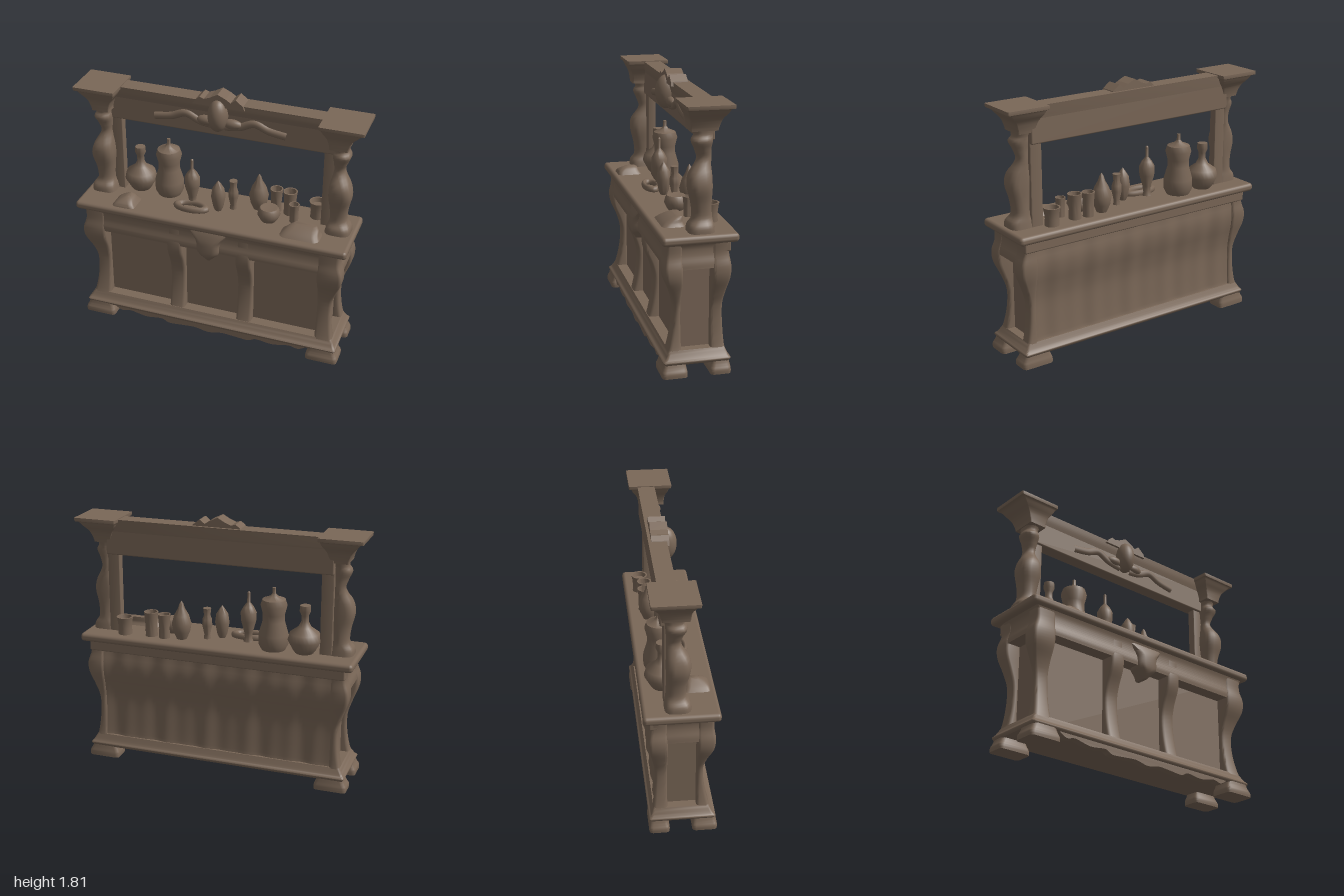
import * as THREE from 'three';
import { toCreasedNormals } from 'three/addons/utils/BufferGeometryUtils.js';
import { RoundedBoxGeometry } from 'three/addons/geometries/RoundedBoxGeometry.js';

const wood = new THREE.MeshStandardMaterial({ color: 0x7a6757 });
wood.name = 'brown wood';

// Catmull-Rom value of column k of a row table at position t (in rows)
function sample(rows, t, k) {
  const i = Math.min(Math.floor(t), rows.length - 2), f = t - i;
  const at = n => rows[Math.max(0, Math.min(rows.length - 1, n))][k];
  const a = at(i - 1), b = at(i), c = at(i + 1), d = at(i + 2);
  return b + 0.5 * f * (c - a + f * (2 * a - 5 * b + 4 * c - d + f * (3 * (b - c) + d - a)));
}

// Rounded-rectangle sections [y, x0, x1, z0, z1] joined from bottom to top
function loft(rows, radius = 0.012, steps = 4) {
  const pos = [], idx = [], arc = 3, n = 4 * (arc + 1), count = (rows.length - 1) * steps;
  for (let i = 0; i <= count; i++) {
    const [y, x0, x1, z0, z1] = [0, 1, 2, 3, 4].map(k => sample(rows, i / steps, k));
    const r = Math.min(radius, (x1 - x0) / 2.01, (z1 - z0) / 2.01);
    for (let q = 0; q < 4; q++) for (let s = 0; s <= arc; s++) {
      const a = (q + s / arc) * Math.PI / 2;
      const cx = q === 0 || q === 3 ? x1 - r : x0 + r, cz = q < 2 ? z1 - r : z0 + r;
      pos.push(cx + r * Math.cos(a), y, cz + r * Math.sin(a));
    }
  }
  for (let i = 0; i < count; i++) for (let j = 0; j < n; j++) {
    const a = i * n + j, b = i * n + (j + 1) % n;
    idx.push(a, a + n, b, b, a + n, b + n);
  }
  for (let j = 1; j < n - 1; j++) {
    const t = count * n;
    idx.push(0, j, j + 1, t, t + j + 1, t + j);
  }
  const g = new THREE.BufferGeometry();
  g.setAttribute('position', new THREE.Float32BufferAttribute(pos, 3));
  g.setIndex(idx);
  return toCreasedNormals(g, 0.7);
}

const mirror = rows => rows.map(([y, a, b, c, d]) => [y, -b, -a, c, d]);

// Cabinet outline: [y, half width, front z, back z]
const outline = [[0.1, 0.925, 0.215, -0.205], [0.16, 0.895, 0.185, -0.185], [0.3, 0.873, 0.155, -0.175],
  [0.44, 0.872, 0.145, -0.172], [0.54, 0.9, 0.165, -0.185], [0.64, 0.935, 0.205, -0.205],
  [0.72, 0.938, 0.215, -0.21], [0.8, 0.915, 0.205, -0.2], [0.89, 0.92, 0.205, -0.2]];

export function createModel() {
  const group = new THREE.Group();
  const add = (name, geometry, x = 0, y = 0, z = 0) => {
    const m = new THREE.Mesh(geometry, wood);
    m.name = name;
    m.position.set(x, y, z);
    group.add(m);
    return m;
  };
  const box = (name, x0, x1, y0, y1, z0, z1, r = 0.01) =>
    add(name, new RoundedBoxGeometry(x1 - x0, y1 - y0, z1 - z0, 2, r), (x0 + x1) / 2, (y0 + y1) / 2, (z0 + z1) / 2);
  const pair = (name, rows, r, steps) => {
    add(name + 'Left', loft(rows, r, steps));
    add(name + 'Right', loft(mirror(rows), r, steps));
  };

  // Cabinet core, whose faces are the recessed panels
  box('panelCore', -0.835, 0.835, 0.08, 0.88, -0.15, 0.11);

  // Curved corner posts and the two front pilasters
  pair('frontPost', outline.map(([y, w, f]) => [y, 0.77, w, 0.1, f]), 0.02);
  pair('backPost', outline.map(([y, w, f, b]) => [y, 0.82, w, b, -0.09]), 0.02);
  pair('pilaster', outline.map(([y, w, f]) => [y, 0.195, 0.305, 0.09, f - 0.005]), 0.02);

  // Rails above and below the panels
  add('upperRail', loft([[0.715, -0.93, 0.93, -0.165, 0.205], [0.75, -0.925, 0.925, -0.165, 0.208],
    [0.8, -0.91, 0.91, -0.165, 0.2], [0.85, -0.91, 0.91, -0.165, 0.2], [0.89, -0.93, 0.93, -0.165, 0.21]], 0.015));
  add('lowerRail', loft([[0.08, -0.925, 0.925, -0.205, 0.215], [0.1, -0.935, 0.935, -0.215, 0.225],
    [0.12, -0.92, 0.92, -0.2, 0.205], [0.165, -0.893, 0.893, -0.183, 0.182]], 0.015));
  box('backRail', -0.915, 0.915, 0.81, 0.89, -0.21, -0.15);

  // Wavy back sheet following the cabinet outline
  const back = new THREE.PlaneGeometry(1.68, 0.72, 80, 24);
  const p = back.attributes.position;
  for (let i = 0; i < p.count; i++) {
    const x = p.getX(i), y = p.getY(i) + 0.46;
    let k = 0;
    while (k < outline.length - 2 && outline[k + 1][0] < y) k++;
    const t = k + (y - outline[k][0]) / (outline[k + 1][0] - outline[k][0]);
    p.setXYZ(i, -x, y, sample(outline, t, 3) + 0.014 + 0.004 * Math.sin(x * 23) + 0.003 * Math.sin(x * 41 + 1));
  }
  back.computeVertexNormals();
  add('backPanel', back);

  // Scalloped apron
  const half = [[0, 0.022], [0.1, 0.04], [0.2, 0.034], [0.3, 0.028], [0.36, 0.052], [0.48, 0.04], [0.6, 0.062], [0.67, 0.05], [0.74, 0.09]];
  const edge = [...half.slice(1).reverse().map(([x, y]) => [-x, y]), ...half].map(([x, y]) => new THREE.Vector2(x, y));
  const apron = new THREE.Shape([new THREE.Vector2(-0.74, 0.11), ...new THREE.SplineCurve(edge).getPoints(80), new THREE.Vector2(0.74, 0.11)]);
  add('apron', toCreasedNormals(new THREE.ExtrudeGeometry(apron, { depth: 0.04, bevelEnabled: true, bevelSize: 0.004, bevelThickness: 0.006, bevelSegments: 1 }), 0.6), 0, 0, 0.165);

  // Feet
  for (const [name, z0, z1] of [['frontFoot', 0.07, 0.235], ['backFoot', -0.215, -0.08]])
    pair(name, [[0, 0.725, 0.95, z0, z1], [0.03, 0.725, 0.95, z0, z1], [0.06, 0.735, 0.935, z0 + 0.005, z1 - 0.01], [0.1, 0.75, 0.92, z0 + 0.01, z1 - 0.015]], 0.025);

  // Counter
  box('counterTop', -0.972, 0.968, 0.882, 0.94, -0.25, 0.242, 0.024);

  // Keystone ornament
  add('keystone', loft([[0.64, -0.012, 0.012, 0.1, 0.2], [0.68, -0.055, 0.055, 0.1, 0.23], [0.72, -0.085, 0.085, 0.1, 0.238],
    [0.79, -0.09, 0.09, 0.1, 0.237], [0.84, -0.13, 0.13, 0.1, 0.22], [0.875, -0.17, 0.17, 0.1, 0.2]], 0.05));

  // Baluster columns, their backing boards and the flared capitals
  pair('column', [[0.935, 0.76, 0.935, -0.11, 0.06], [0.98, 0.77, 0.93, -0.105, 0.055], [1.03, 0.785, 0.9, -0.1, 0.03],
    [1.12, 0.78, 0.905, -0.095, 0.035], [1.22, 0.77, 0.925, -0.095, 0.055], [1.3, 0.775, 0.91, -0.095, 0.05],
    [1.39, 0.79, 0.865, -0.095, 0], [1.45, 0.785, 0.878, -0.095, 0.012], [1.51, 0.78, 0.9, -0.1, 0.035],
    [1.55, 0.785, 0.882, -0.105, 0.02], [1.6, 0.775, 0.885, -0.12, 0.04]], 0.05);
  pair('backingBoard', [[0.935, 0.715, 0.8, -0.107, -0.05], [1.52, 0.715, 0.8, -0.107, -0.05]], 0.006, 1);
  pair('capital', [[1.575, 0.765, 0.89, -0.125, 0.05], [1.6, 0.765, 0.895, -0.13, 0.052], [1.65, 0.75, 0.915, -0.145, 0.058],
    [1.69, 0.725, 0.95, -0.17, 0.075], [1.722, 0.71, 0.98, -0.185, 0.088], [1.726, 0.702, 0.998, -0.2, 0.098], [1.75, 0.7, 1, -0.2, 0.1]], 0.008, 3);

  // Overhead beam with its cornice
  box('beam', -0.8, 0.8, 1.495, 1.7, -0.13, -0.035);
  add('cornice', loft([[1.66, -0.78, 0.78, -0.13, -0.035], [1.7, -0.78, 0.78, -0.135, -0.025], [1.745, -0.78, 0.78, -0.14, -0.02]], 0.008));

  // Crest and carved centre of the beam
  const crest = new THREE.Shape([[-0.18, 1.72], [0.18, 1.72], [0.17, 1.75], [0.12, 1.79], [0.085, 1.762], [0.05, 1.785],
    [-0.005, 1.81], [-0.06, 1.78], [-0.1, 1.765], [-0.13, 1.775], [-0.16, 1.75]].map(q => new THREE.Vector2(...q)));
  add('crest', new THREE.ExtrudeGeometry(crest, { depth: 0.115, bevelEnabled: false }), 0, 0, -0.12);
  add('cartouche', new THREE.SphereGeometry(1, 24, 16), -0.005, 1.655, -0.015).scale.set(0.068, 0.115, 0.075);
  for (const s of [-1, 1]) {
    const path = new THREE.CatmullRomCurve3([[0.04, 1.57], [0.14, 1.585], [0.24, 1.625], [0.34, 1.59], [0.46, 1.57]]
      .map(([x, y]) => new THREE.Vector3(s * x, y, 0)));
    add('swag', new THREE.TubeGeometry(path, 30, 0.027, 10), 0, 0, -0.035).scale.z = 0.8;
    add('leaf', new THREE.SphereGeometry(1, 16, 10), s * 0.09, 1.6, -0.03).scale.set(0.07, 0.035, 0.035);
  }

  // Bottles and cups: [name, x, z, profile of radius and height above the counter]
  const taper = (r, h) => [[r * 0.5, 0], [r * 0.85, h * 0.2], [r, h * 0.4], [r * 0.75, h * 0.62], [r * 0.35, h * 0.8], [r * 0.2, h * 0.92], [0, h]];
  const cup = (r, h) => [[r * 0.85, 0], [r * 0.8, h * 0.4], [r * 0.9, h * 0.8], [r, h], [r * 0.8, h], [r * 0.7, h * 0.75], [0, h * 0.7]];
  const wares = [
    ['roundFlask', -0.61, -0.1, [[0.06, 0], [0.075, 0.02], [0.113, 0.09], [0.1, 0.14], [0.045, 0.18], [0.025, 0.22], [0.025, 0.26], [0.038, 0.29], [0.035, 0.33], [0, 0.33]]],
    ['tallJar', -0.395, -0.1, [[0.08, 0], [0.1, 0.04], [0.1, 0.11], [0.075, 0.2], [0.075, 0.25], [0.09, 0.31], [0.078, 0.35], [0.03, 0.37], [0.013, 0.39], [0.012, 0.43], [0, 0.432]]],
    ['stemFlask', -0.19, -0.01, [[0.035, 0], [0.025, 0.03], [0.03, 0.07], [0.052, 0.15], [0.055, 0.21], [0.035, 0.25], [0.011, 0.28], [0.01, 0.35], [0, 0.36]]],
    ['smallBottle', 0.005, 0.005, [[0.022, 0], [0.035, 0.03], [0.05, 0.11], [0.042, 0.17], [0.018, 0.21], [0, 0.235]]],
    ['slimBottle', 0.095, -0.05, [[0.025, 0], [0.02, 0.03], [0.035, 0.1], [0.033, 0.14], [0.022, 0.17], [0.028, 0.22], [0, 0.22]]],
    ['teardropBottle', 0.26, -0.11, taper(0.068, 0.275)],
    ['bowl', 0.37, 0.01, [[0.05, 0], [0.06, 0.015], [0.078, 0.05], [0.07, 0.085], [0.06, 0.1], [0.045, 0.1], [0, 0.09]]],
    ['cup', 0.38, -0.13, cup(0.045, 0.17)],
    ['cup', 0.48, -0.12, cup(0.05, 0.175)],
    ['cup', 0.535, -0.03, cup(0.036, 0.135)],
    ['cup', 0.67, -0.14, cup(0.058, 0.125)]];
  for (const [name, x, z, prof] of wares)
    add(name, toCreasedNormals(new THREE.LatheGeometry(prof.map(q => new THREE.Vector2(...q)), 24), 0.8), x, 0.938, z);

  // Folded cloths and a dish lying on the counter
  add('foldedCloth', loft([[0.93, -0.72, -0.54, 0.03, 0.21], [0.96, -0.69, -0.56, 0.05, 0.2], [0.985, -0.65, -0.58, 0.06, 0.17], [0.998, -0.625, -0.605, 0.08, 0.13]], 0.03));
  add('drapedCloth', loft([[0.93, 0.48, 0.77, 0.03, 0.2], [0.96, 0.51, 0.75, 0.05, 0.17], [0.985, 0.54, 0.74, 0.05, 0.13], [1, 0.57, 0.72, 0.05, 0.09]], 0.04));
  const dish = add('dish', new THREE.TorusGeometry(0.085, 0.024, 10, 28), -0.175, 0.955, 0.055);
  dish.rotation.x = -Math.PI / 2;
  dish.scale.set(1.2, 0.55, 1);
  return group;
}
